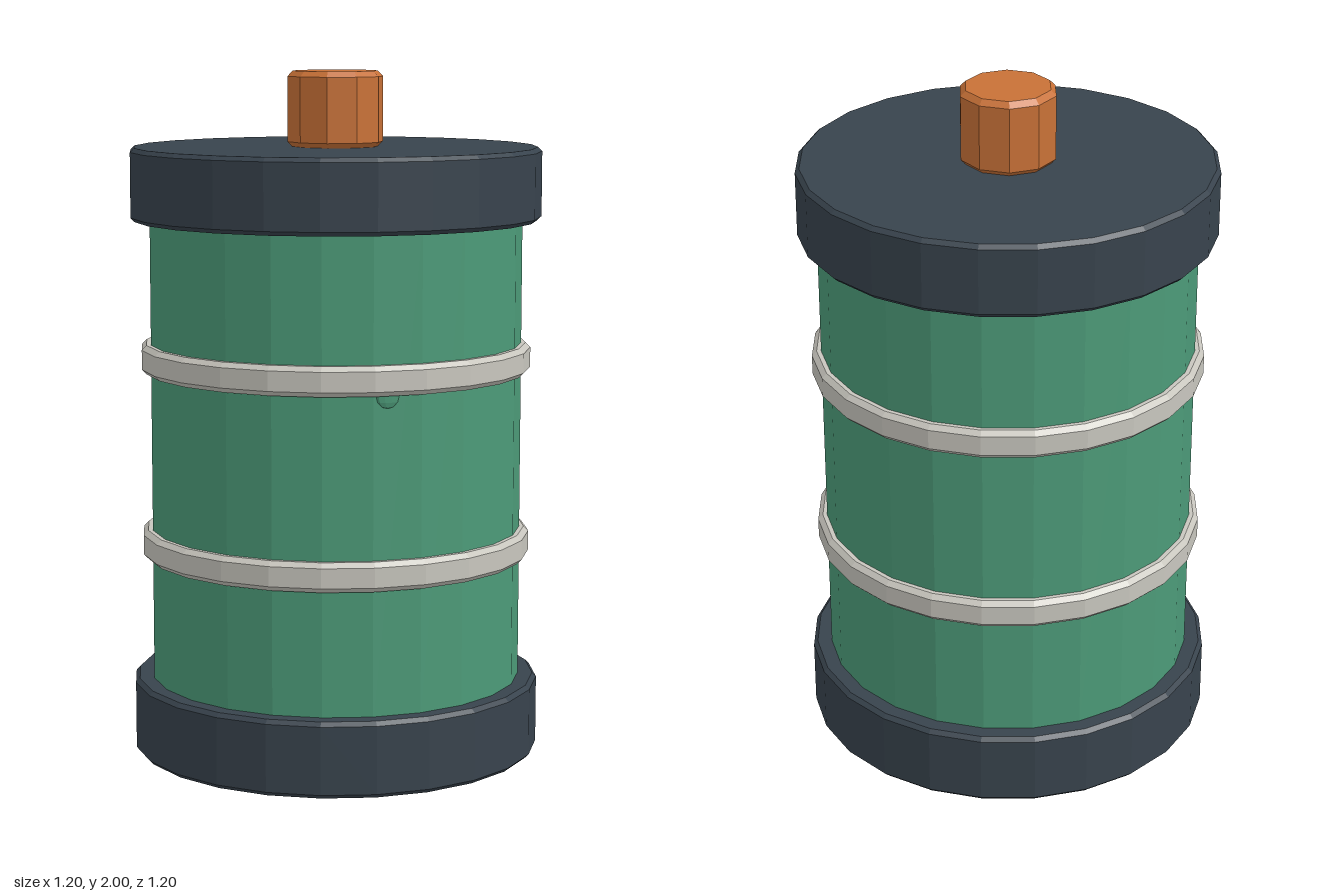
import * as THREE from 'three';

const material = (name, color) => {
  const m = new THREE.MeshStandardMaterial({ color, flatShading: true });
  m.name = name;
  return m;
};

export function createModel() {
  const group = new THREE.Group();
  const slate = material('dark slate', 0x38434d);
  const green = material('green', 0x4c9a78);
  const grey = material('warm light grey', 0xc8c6be);
  const copper = material('copper orange', 0xc87137);

  const add = (name, geometry, mat) => {
    const mesh = new THREE.Mesh(geometry, mat);
    mesh.name = name;
    group.add(mesh);
    return mesh;
  };

  // Closed faceted disc with bevelled rims, from y0 to y1
  const bevelledDisc = (r, y0, y1, bevel, sides) => new THREE.LatheGeometry([
    [0, y0], [r - bevel, y0], [r, y0 + bevel], [r, y1 - bevel], [r - bevel, y1], [0, y1],
  ].map(([x, y]) => new THREE.Vector2(x, y)), sides);

  // Main barrel between the caps
  const body = add('body', new THREE.CylinderGeometry(0.545, 0.545, 1.4, 24), green);
  body.position.y = 0.9;

  // End caps
  add('bottomCap', bevelledDisc(0.6, 0, 0.22, 0.012, 24), slate);
  add('topCap', bevelledDisc(0.6, 1.57, 1.782, 0.012, 24), slate);

  // Hoops around the barrel
  add('lowerBand', bevelledDisc(0.572, 0.58, 0.665, 0.014, 24), grey);
  add('upperBand', bevelledDisc(0.572, 1.127, 1.212, 0.014, 24), grey);

  // Terminal on top
  add('terminal', bevelledDisc(0.14, 1.78, 2, 0.016, 10), copper);

  // Tiny bump just under the upper band
  const bump = add('bump', new THREE.SphereGeometry(0.035, 10, 6), green);
  bump.scale.z = 0.25;
  bump.position.set(-0.1, 1.125, 0.531);
  bump.rotation.y = -Math.PI / 24;

  return group;
}
